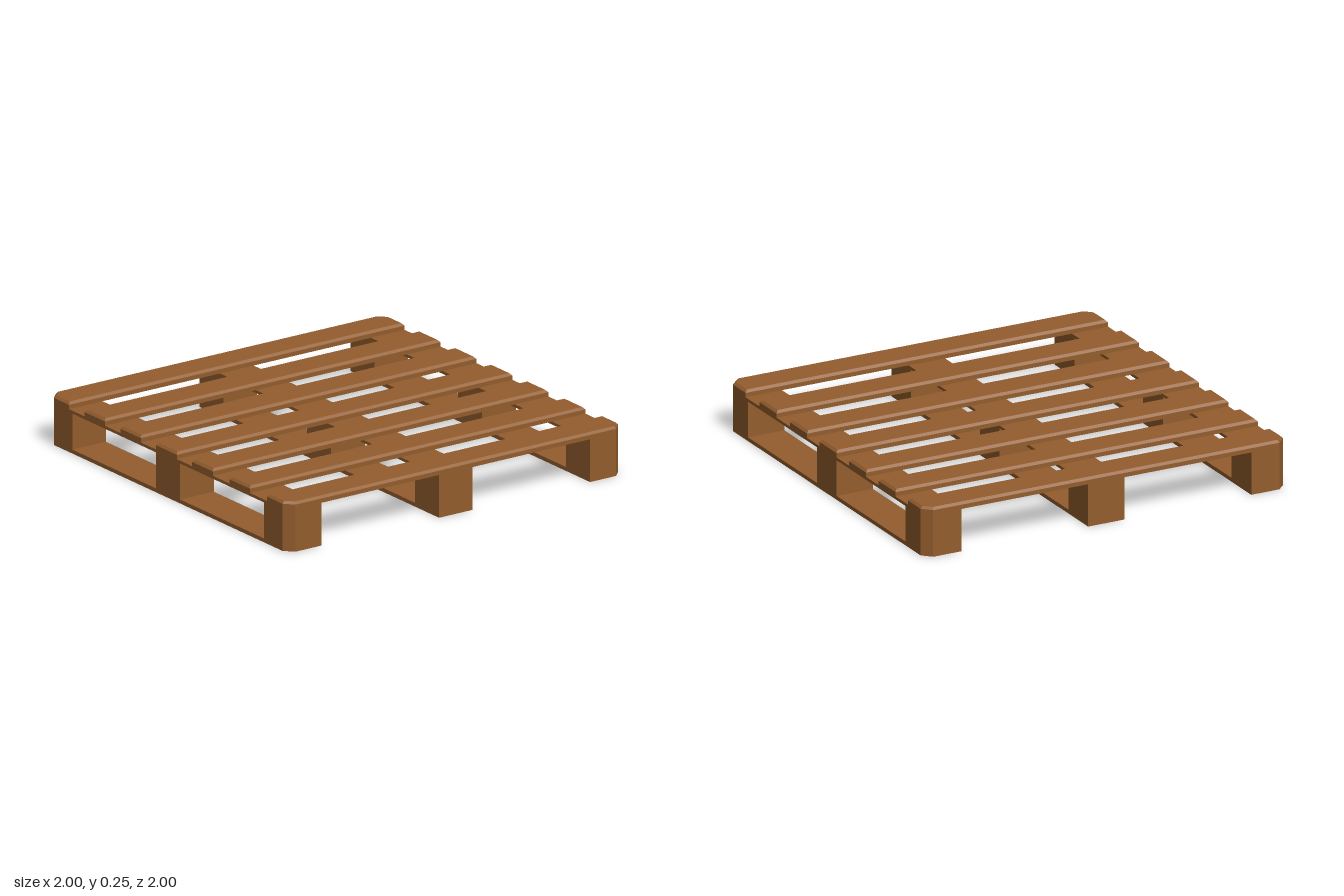
import * as THREE from 'three';

const wood = new THREE.MeshStandardMaterial({ color: 0x935d2d });
wood.name = 'wood';

// Rectangle in x/z, shrunk by inset; corners named in cut ('++' = +x +z) are chamfered
function outline([x0, x1, z0, z1], cut, inset) {
  const c = 0.045 - inset * (2 - Math.SQRT2);
  const corners = [['++', x1, z1, 1, 1], ['+-', x1, z0, 1, -1], ['--', x0, z0, -1, -1], ['-+', x0, z1, -1, 1]];
  const pts = [];
  for (const [key, px, pz, sx, sz] of corners) {
    const x = px - sx * inset, z = pz - sz * inset;
    if (!cut.includes(key)) { pts.push([x, z]); continue; }
    const pair = [[x - sx * c, z], [x, z - sz * c]];
    pts.push(...(sx * sz > 0 ? pair : pair.reverse()));
  }
  return pts;
}

// Flat-faced solid through levels [y, inset], closed at both ends
function solid(name, rect, levels, cut = []) {
  const rings = levels.map(([y, inset]) => outline(rect, cut, inset).map(([x, z]) => [x, y, z]));
  const pos = [];
  const tri = (a, b, c) => pos.push(...a, ...b, ...c);
  const n = rings[0].length, top = rings[rings.length - 1], bottom = rings[0];
  for (let r = 0; r < rings.length - 1; r++) {
    for (let i = 0; i < n; i++) {
      const j = (i + 1) % n, a = rings[r], b = rings[r + 1];
      tri(a[i], a[j], b[j]);
      tri(a[i], b[j], b[i]);
    }
  }
  for (let i = 1; i < n - 1; i++) {
    tri(top[0], top[i], top[i + 1]);
    tri(bottom[0], bottom[i + 1], bottom[i]);
  }
  const g = new THREE.BufferGeometry();
  g.setAttribute('position', new THREE.Float32BufferAttribute(pos, 3));
  g.computeVertexNormals();
  const mesh = new THREE.Mesh(g, wood);
  mesh.name = name;
  return mesh;
}

export function createModel() {
  const pallet = new THREE.Group();
  pallet.name = 'pallet';
  const skidTop = 0.02, stringerBottom = 0.205, deckBottom = 0.22, deckTop = 0.254, bevel = 0.012;

  // Three rows running front to back: bottom skid, blocks and stringer
  for (const s of [-1, 0, 1]) {
    const x = s * 0.9;
    const side = s > 0 ? '+' : '-';
    const cut = s ? [side + '+', side + '-'] : [];
    const row = [x - 0.1, x + 0.1, -1, 1];
    pallet.add(solid('bottomSkid', row, [[0, 0], [skidTop, 0]], cut));
    pallet.add(solid('stringer', row, [[stringerBottom, 0], [deckBottom, 0]], cut));
    for (const t of [-1, 0, 1]) {
      const z = t * 0.9;
      const blockCut = s && t ? [side + (t > 0 ? '+' : '-')] : [];
      pallet.add(solid('block', [x - 0.1, x + 0.1, z - 0.1, z + 0.1],
        [[skidTop, 0], [stringerBottom, 0]], blockCut));
    }
  }

  // Deck slats with bevelled top edges; the outer two have cut corners
  const slatStarts = [-1, -0.7, -0.4, -0.1, 0.2, 0.51, 0.825];
  slatStarts.forEach((z, i) => {
    const cut = i === 0 ? ['+-', '--'] : i === 6 ? ['++', '-+'] : [];
    pallet.add(solid('deckSlat', [-1, 1, z, i === 6 ? 1 : z + 0.172],
      [[deckBottom, 0], [deckTop - bevel, 0], [deckTop, bevel]], cut));
  });
  return pallet;
}
